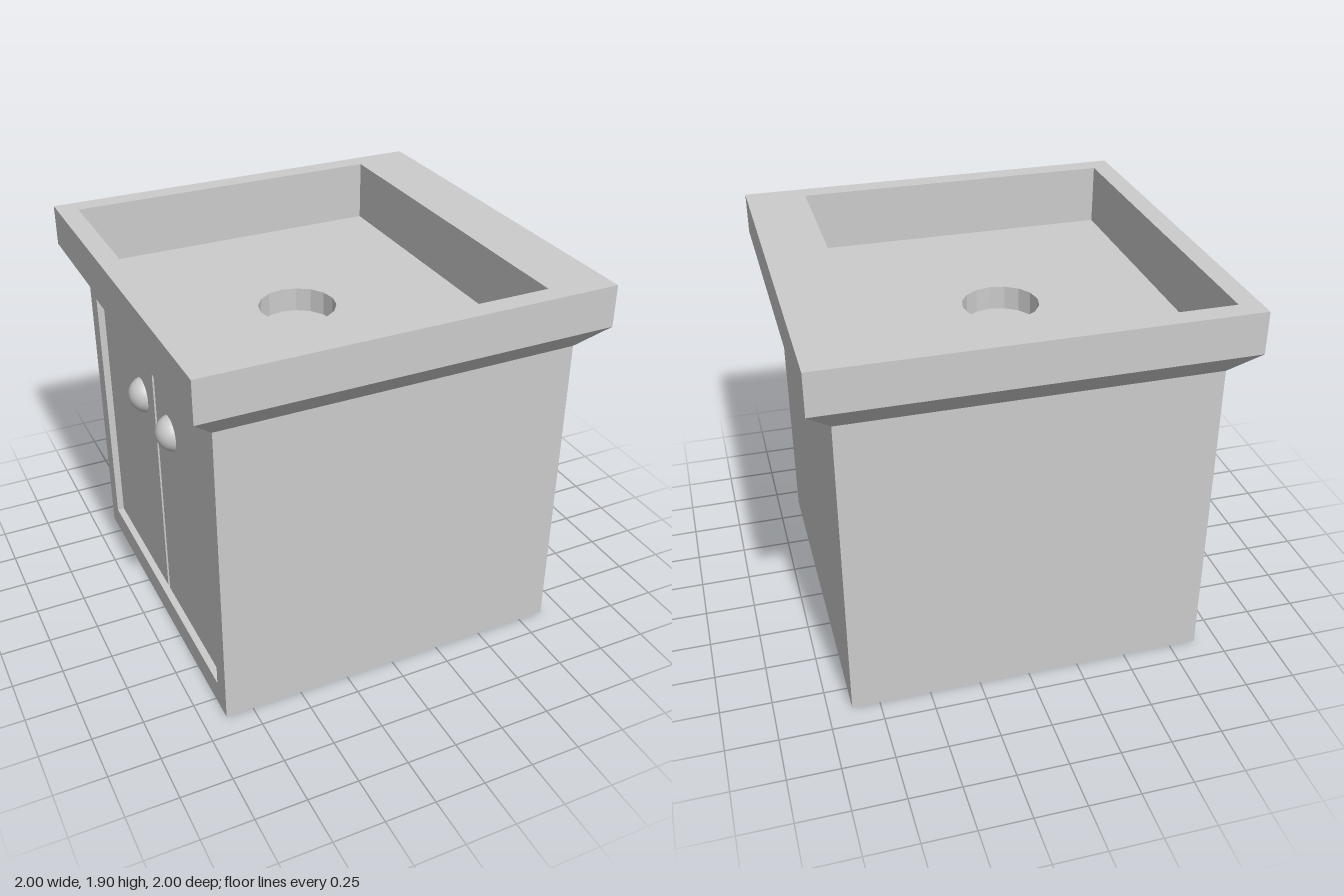
import * as THREE from 'three';

export function createModel() {
  const group = new THREE.Group();
  const material = new THREE.MeshStandardMaterial({ color: 0xcccccc });
  const flatMaterial = new THREE.MeshStandardMaterial({ color: 0xcccccc, flatShading: true });

  const add = (name, geometry, x = 0, y = 0, z = 0, mat = material) => {
    const mesh = new THREE.Mesh(geometry, mat);
    mesh.name = name;
    mesh.position.set(x, y, z);
    group.add(mesh);
    return mesh;
  };
  // Rectangle path from corner to corner
  const rect = (path, x0, y0, x1, y1) =>
    path.moveTo(x0, y0).lineTo(x1, y0).lineTo(x1, y1).lineTo(x0, y1).closePath();
  // Flat-sided ring from a [radius, height] profile; rising faces outward, falling inward
  const ring = (profile, sides) => new THREE.LatheGeometry(
    profile.map(([r, y]) => new THREE.Vector2(r, y)), sides, sides === 4 ? Math.PI / 4 : 0);
  const square = (profile) => ring(profile.map(([r, y]) => [r * Math.SQRT2, y]), 4);

  const half = 0.885, bodyTop = 1.47, topY = 1.905, floorY = 1.6;
  const frameDepth = 0.085, backX = -half + frameDepth;
  const open = { z: 0.78, y0: 0.125, y1: 1.455 };
  const basin = { x: -0.1, w: 0.8, d: 0.9 };
  const drainR = 0.19;

  // Cabinet body behind the doors
  add('cabinetBody', new THREE.BoxGeometry(half - backX, bodyTop, 2 * half),
    (half + backX) / 2, bodyTop / 2, 0);

  // Door frame on the -x side
  const frame = rect(new THREE.Shape(), -half, 0, half, bodyTop);
  frame.holes.push(rect(new THREE.Path(), -open.z, open.y0, open.z, open.y1));
  const frameGeo = new THREE.ExtrudeGeometry(frame, { depth: frameDepth, bevelEnabled: false });
  frameGeo.rotateY(-Math.PI / 2);
  add('doorFrame', frameGeo, backX, 0, 0);

  // Pair of recessed doors with round knobs
  const gap = 0.028, doorDepth = 0.05, doorWidth = open.z - gap / 2;
  for (const side of [-1, 1]) {
    add('door', new THREE.BoxGeometry(doorDepth, open.y1 - open.y0, doorWidth),
      backX - doorDepth / 2, (open.y0 + open.y1) / 2, side * (gap / 2 + doorWidth / 2));
    add('knob', new THREE.SphereGeometry(0.092, 32, 16), -0.827, 1.18, side * 0.2);
  }

  // Countertop: neck, flared underside and upright edge
  add('countertopEdge', square([[half, bodyTop], [half, 1.575], [1, 1.7], [1, topY]]),
    0, 0, 0, flatMaterial);

  // Countertop surface around the basin
  const rim = rect(new THREE.Shape(), -1, -1, 1, 1);
  rim.holes.push(rect(new THREE.Path(), basin.x - basin.w, -basin.d, basin.x + basin.w, basin.d));
  add('countertopRim', new THREE.ShapeGeometry(rim).rotateX(-Math.PI / 2), 0, topY, 0);

  // Basin walls
  add('basinWalls', square([[1, topY], [1, floorY]]).scale(basin.w, 1, basin.d),
    basin.x, 0, 0, flatMaterial);

  // Basin floor with drain opening
  const floor = rect(new THREE.Shape(), -basin.w, -basin.d, basin.w, basin.d);
  const hole = [];
  for (let i = 0; i < 16; i++) {
    const a = (i / 16) * Math.PI * 2;
    hole.push(new THREE.Vector2(Math.cos(a) * drainR, Math.sin(a) * drainR));
  }
  floor.holes.push(new THREE.Path(hole));
  add('basinFloor', new THREE.ShapeGeometry(floor).rotateX(-Math.PI / 2), basin.x, floorY, 0);

  // Sunken drain
  add('drain', ring([[drainR, floorY], [drainR, 1.48], [0, 1.48]], 16),
    basin.x, 0, 0, flatMaterial);

  return group;
}
